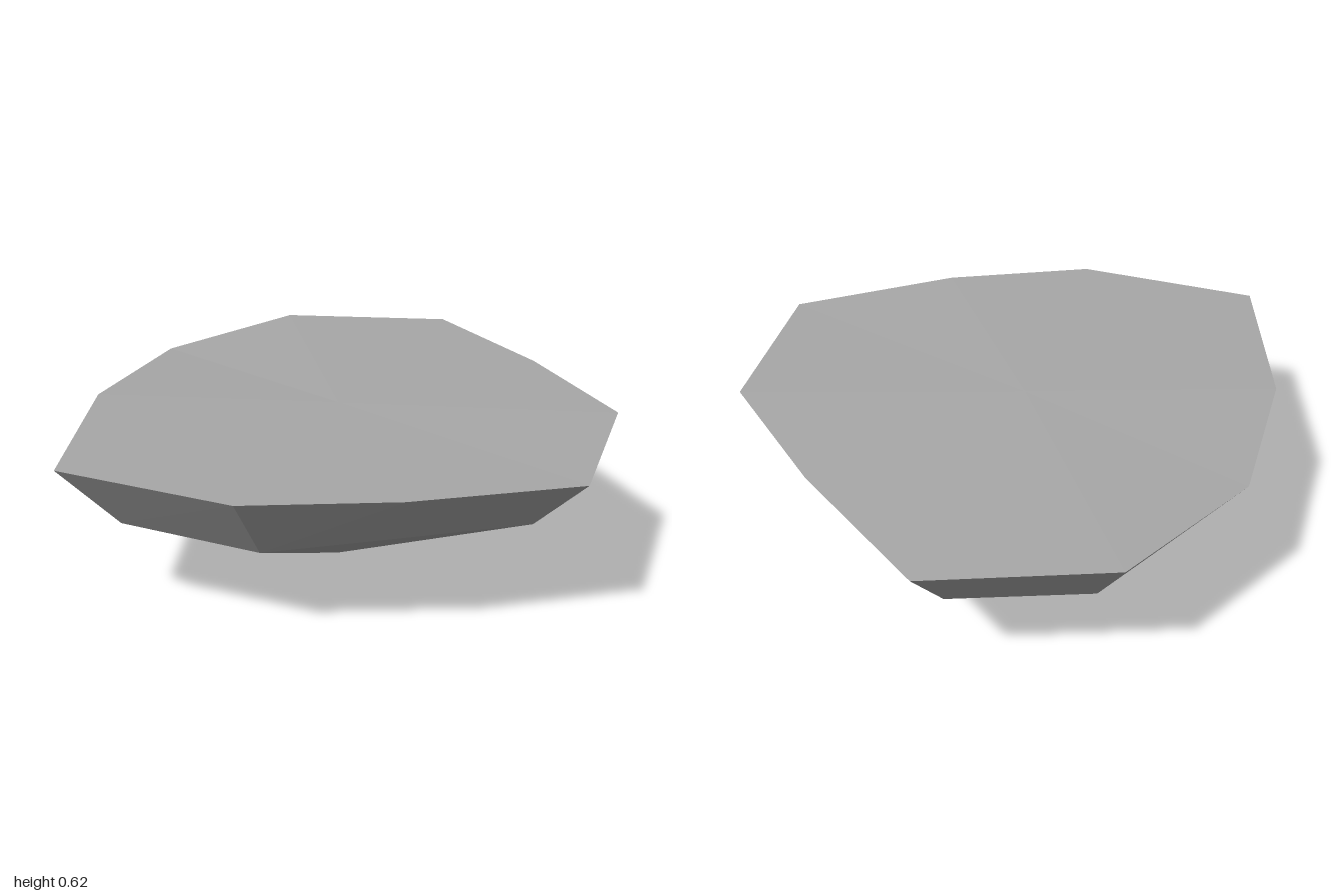
import * as THREE from 'three';

// Rim and belt outlines, clockwise from the back as seen from above: [x, y, z]
const rim = [
  [-0.37, 0.595, -1], [0.2, 0.605, -0.82], [0.71, 0.605, -0.59], [0.95, 0.6, -0.03], [0.6, 0.61, 0.45],
  [0.22, 0.61, 0.81], [-0.39, 0.61, 1], [-0.77, 0.615, 0.49], [-0.95, 0.6, -0.03], [-0.86, 0.605, -0.61],
];
const belt = [
  [-0.33, 0.36, -0.8], [0.12, 0.39, -0.66], [0.55, 0.4, -0.47], [0.75, 0.4, -0.03], [0.47, 0.4, 0.35],
  [0.16, 0.36, 0.64], [-0.32, 0.37, 0.8], [-0.63, 0.39, 0.4], [-0.77, 0.43, -0.03], [-0.7, 0.36, -0.5],
];
const topCentre = [-0.08, 0.61, -0.02];
const tip = [-0.1, 0, -0.03];

// Builds a faceted mesh from the corners given for each segment of the outline
function facets(name, material, corners) {
  const points = rim.flatMap((_, i) => corners(i, (i + 1) % rim.length)).flat();
  const geometry = new THREE.BufferGeometry();
  geometry.setAttribute('position', new THREE.Float32BufferAttribute(points, 3));
  geometry.computeVertexNormals();
  const mesh = new THREE.Mesh(geometry, material);
  mesh.name = name;
  return mesh;
}

export function createModel() {
  const stone = new THREE.MeshStandardMaterial({ color: 0xa8a8a8 });
  stone.name = 'grey stone';

  const rock = new THREE.Group();
  rock.name = 'flatToppedRock';
  rock.add(
    // Nearly flat top
    facets('top', stone, (i, j) => [topCentre, rim[j], rim[i]]),
    // Steep band under the rim
    facets('upperBand', stone, (i, j) => [rim[i], rim[j], belt[j], rim[i], belt[j], belt[i]]),
    // Shallow cone down to the tip
    facets('underside', stone, (i, j) => [belt[i], belt[j], tip]),
  );
  return rock;
}
